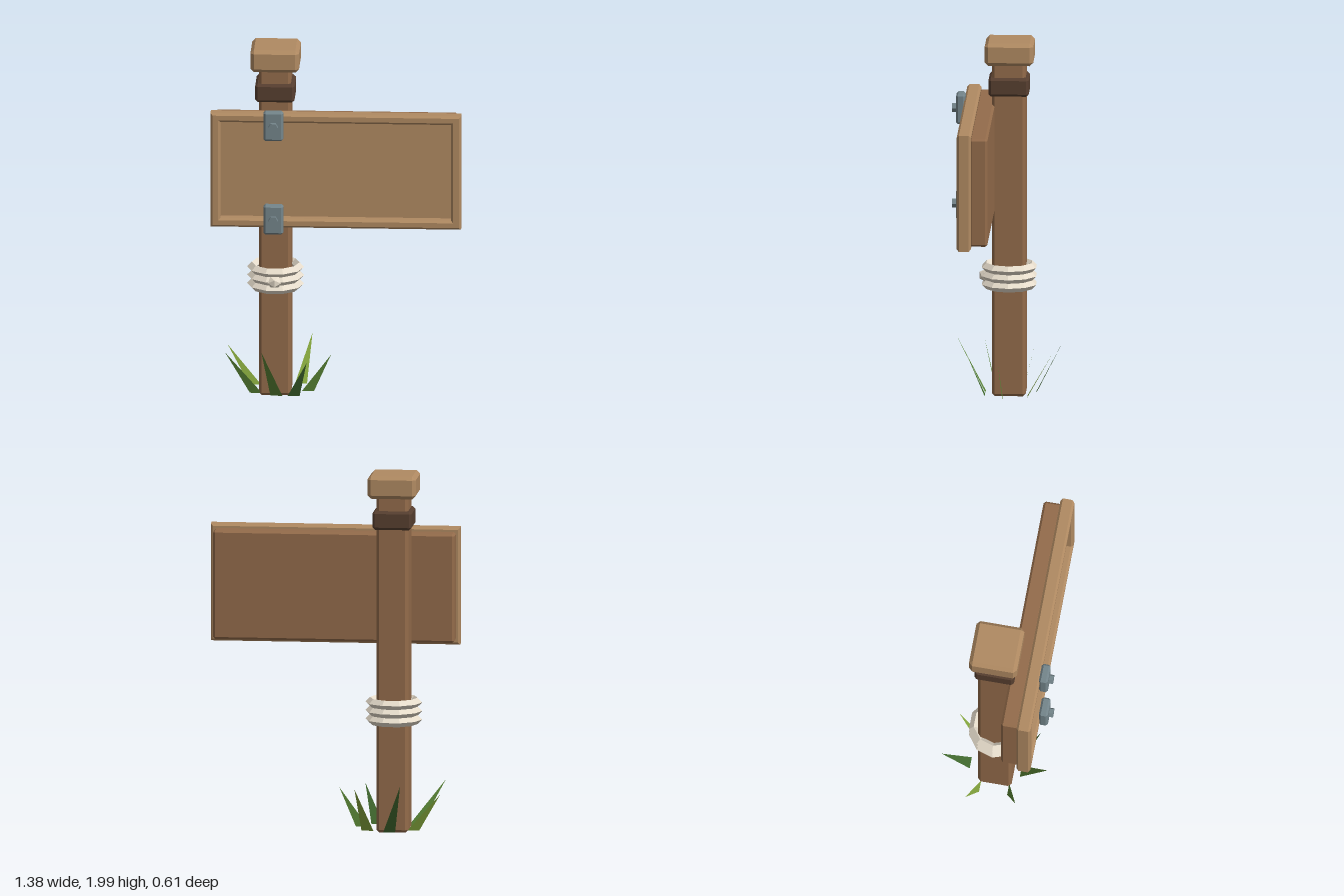
import * as THREE from 'three';
import { ConvexGeometry } from 'three/addons/geometries/ConvexGeometry.js';

const POST_X = -0.342, POST_Z = -0.008;

const paint = (color, side = THREE.FrontSide) =>
  new THREE.MeshStandardMaterial({ color, flatShading: true, side });

// Box with every edge chamfered, given by its centre and full size
function chamferBox(w, h, d, c) {
  const points = [];
  for (const sx of [-1, 1]) for (const sy of [-1, 1]) for (const sz of [-1, 1]) {
    const x = sx * w / 2, y = sy * h / 2, z = sz * d / 2;
    points.push(
      new THREE.Vector3(x, y - sy * c, z - sz * c),
      new THREE.Vector3(x - sx * c, y, z - sz * c),
      new THREE.Vector3(x - sx * c, y - sy * c, z));
  }
  return new ConvexGeometry(points);
}

function rectangle(path, w, h) {
  path.moveTo(-w / 2, -h / 2);
  path.lineTo(w / 2, -h / 2);
  path.lineTo(w / 2, h / 2);
  path.lineTo(-w / 2, h / 2);
  path.closePath();
  return path;
}

export function createModel() {
  const model = new THREE.Group();
  const darkWood = paint(0x946c4b), lightWood = paint(0xb08a62);
  const bandWood = paint(0x573f30), metal = paint(0x74858b), rope = paint(0xe6dccb);
  const greens = [paint(0x5a8536, THREE.DoubleSide), paint(0x426b30, THREE.DoubleSide),
    paint(0x86a83e, THREE.DoubleSide)];

  const add = (name, geometry, material, x, y, z, parent = model) => {
    const mesh = new THREE.Mesh(geometry, material);
    mesh.name = name;
    mesh.position.set(x, y, z);
    parent.add(mesh);
    return mesh;
  };

  // Post with its cap and dark collar
  add('post', chamferBox(0.177, 1.9, 0.187, 0.016), darkWood, POST_X, 0.958, POST_Z);
  add('postCap', chamferBox(0.268, 0.127, 0.268, 0.02), lightWood, POST_X, 1.9365, POST_Z - 0.003);
  add('postCollar', chamferBox(0.217, 0.104, 0.222, 0.014), bandWood, POST_X, 1.749, POST_Z);

  // Sign: backing panel, recessed face and bevelled frame
  const sign = new THREE.Group();
  sign.name = 'signBoard';
  sign.position.y = 1.346;
  model.add(sign);
  add('backPanel', chamferBox(1.335, 0.606, 0.1, 0.012), darkWood, 0, 0, 0.12, sign);
  add('signFace', new THREE.BoxGeometry(1.29, 0.57, 0.02), lightWood, 0, 0, 0.172, sign);
  const bevel = 0.012;
  const outline = rectangle(new THREE.Shape(), 1.38 - 2 * bevel, 0.652 - 2 * bevel);
  outline.holes.push(rectangle(new THREE.Path(), 1.294, 0.574));
  const frame = new THREE.ExtrudeGeometry(outline, {
    depth: 0.078 - 2 * bevel, bevelEnabled: true, bevelSegments: 1,
    bevelSize: bevel, bevelThickness: bevel,
  });
  add('signFrame', frame, lightWood, 0, 0, 0.16 + bevel, sign);

  // Metal brackets with hexagonal bolts
  for (const y of [1.613, 1.076]) {
    const bracket = new THREE.Group();
    bracket.name = 'bracket';
    bracket.position.set(POST_X, y, 0);
    model.add(bracket);
    add('bracketPlate', chamferBox(0.109, 0.168, 0.05, 0.011), metal, 0, 0, 0.258, bracket);
    const bolt = add('bolt', new THREE.CylinderGeometry(0.027, 0.027, 0.035, 6), metal, 0, 0, 0.2895, bracket);
    bolt.rotation.set(Math.PI / 2, Math.PI / 2, 0, 'XYZ');
  }

  // Three rope coils and a knot
  for (let i = -1; i <= 1; i++) {
    const coil = add('ropeCoil', new THREE.TorusGeometry(0.131, 0.026, 4, 10), rope,
      POST_X, 0.676 + i * 0.0475, POST_Z);
    coil.rotation.x = Math.PI / 2;
  }
  const knot = add('ropeKnot', new THREE.IcosahedronGeometry(0.043, 0), rope, POST_X, 0.672, 0.122);
  knot.scale.set(1, 0.85, 0.9);

  // Grass blades: base offset [x, z] and tip offset [x, y, z] from the post centre, shade
  const blades = [
    [0.01, 0.13, -0.065, 0.315, 0.292, 0],
    [0.105, 0.13, 0.18, 0.235, 0.215, 1],
    [0.18, 0.03, 0.307, 0.235, 0.05, 0],
    [0.135, -0.105, 0.192, 0.272, -0.245, 2],
    [0.01, -0.15, -0.066, 0.3, -0.299, 1],
    [-0.115, -0.075, -0.27, 0.232, -0.132, 2],
    [-0.105, 0.08, -0.272, 0.272, 0.15, 0],
  ];
  const grass = new THREE.Group();
  grass.name = 'grass';
  grass.position.set(POST_X, 0, POST_Z);
  model.add(grass);
  for (const [bx, bz, tx, ty, tz, shade] of blades) {
    const blade = new THREE.BufferGeometry();
    blade.setAttribute('position', new THREE.Float32BufferAttribute(
      [bx - 0.033, 0.02, bz, bx + 0.033, 0.02, bz, tx, ty, tz], 3));
    blade.computeVertexNormals();
    add('grassBlade', blade, greens[shade], 0, 0, 0, grass);
  }
  return model;
}
